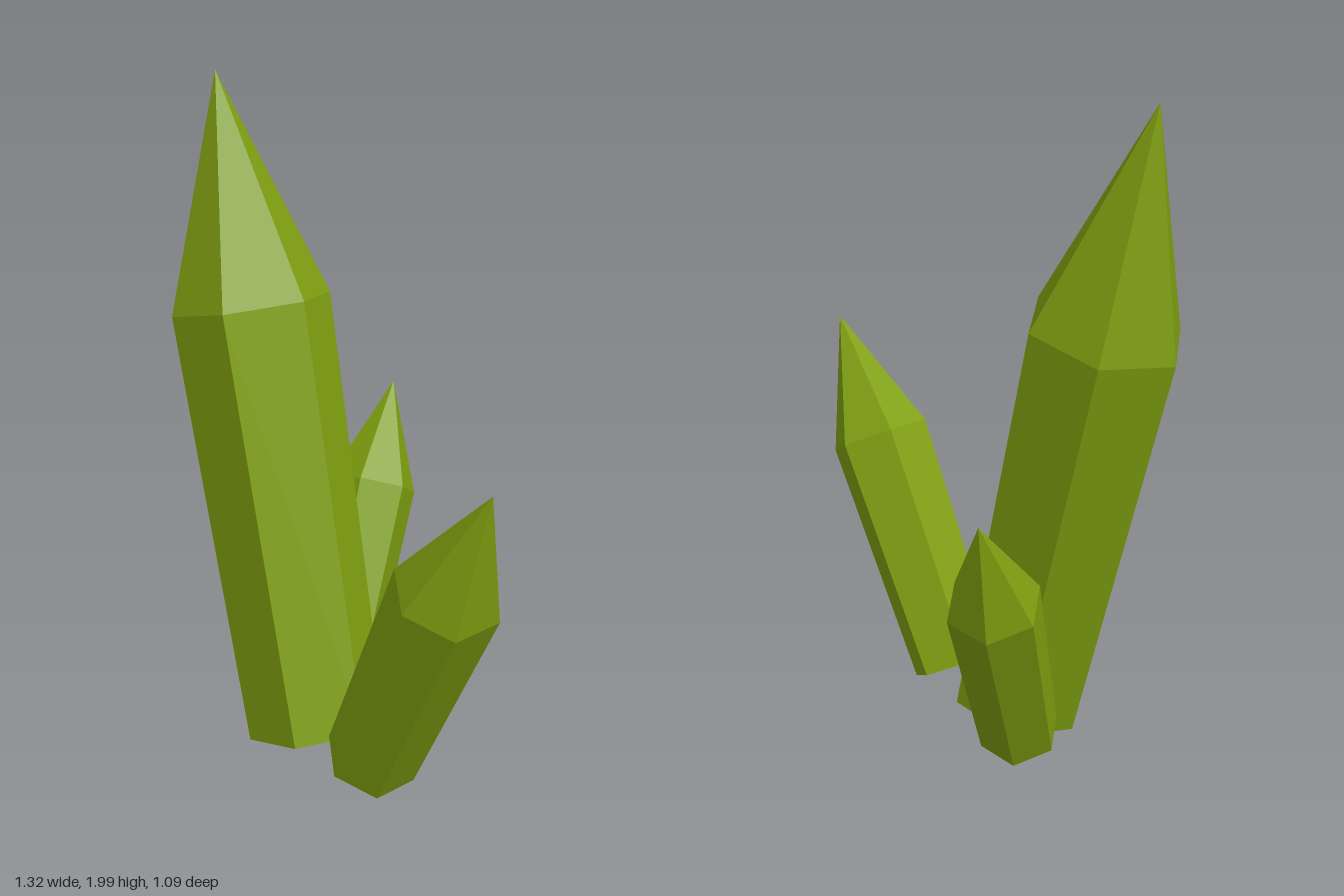
import * as THREE from 'three';

const crystalGreen = new THREE.MeshStandardMaterial({ color: 0x7f9f10 });
crystalGreen.name = 'crystalGreen';
crystalGreen.flatShading = true;

// Six-sided tapered prism with a pointed cap, leaning from base to tip.
// "corner" points from the axis towards one of the six edges.
function crystal(name, base, tip, radius, corner) {
  const foot = new THREE.Vector3(...base);
  const axis = new THREE.Vector3(...tip).sub(foot);
  const height = axis.length();
  axis.normalize();

  const profile = [
    [0, 0],
    [radius * 0.88, 0],
    [radius, height * 0.655],
    [0, height],
  ].map(([r, y]) => new THREE.Vector2(r, y));
  const mesh = new THREE.Mesh(new THREE.LatheGeometry(profile, 6), crystalGreen);
  mesh.name = name;

  // Orient the prism: y along the axis, z towards the corner edge
  const z = new THREE.Vector3(...corner);
  z.addScaledVector(axis, -z.dot(axis)).normalize();
  const x = new THREE.Vector3().crossVectors(axis, z);
  mesh.quaternion.setFromRotationMatrix(new THREE.Matrix4().makeBasis(x, axis, z));
  mesh.position.copy(foot);
  return mesh;
}

export function createModel() {
  const group = new THREE.Group();
  group.name = 'crystalCluster';
  group.add(
    crystal('tallCrystal', [-0.13, 0.06, 0.165], [-0.6, 2.0, -0.02], 0.24, [0.07, 0.04, 0.23]),
    crystal('leftCrystal', [0.13, 0.075, 0.255], [0.65, 1.12, 0.465], 0.16, [-0.045, -0.01, 0.15]),
    crystal('backCrystal', [-0.236, 0.075, -0.07], [-0.32, 0.935, -0.545], 0.14, [0.033, 0.0675, 0.12]),
  );
  return group;
}
